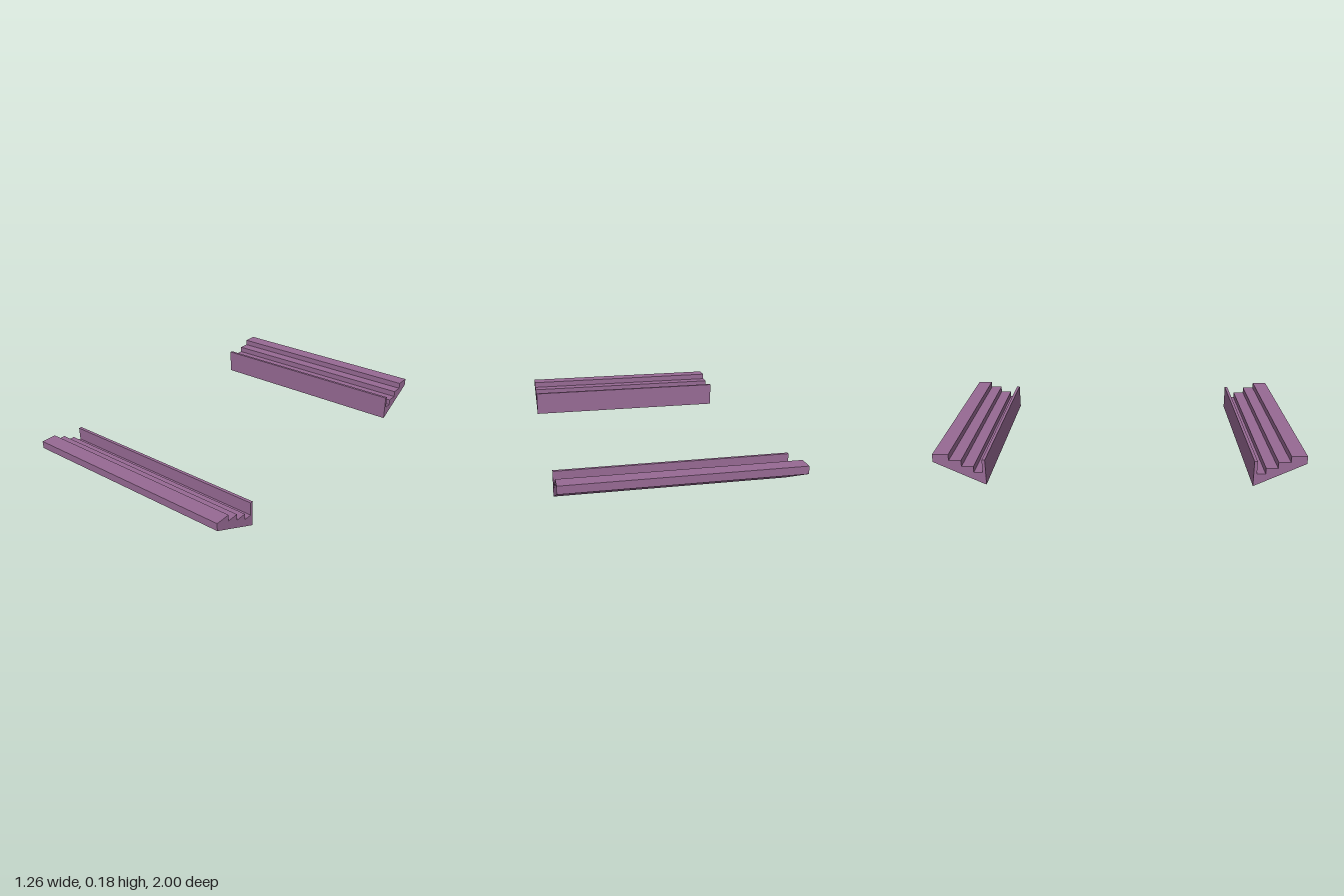
import * as THREE from 'three';

const LENGTH = 1.26;

// Cross-section of one stand: x is the distance from the centre, y is up
const PROFILE = [
  [0.72, 0], [1, 0.133], [1, 0.176],            // sloped underside, outer lip
  [0.914, 0.176], [0.914, 0.141],               // top step
  [0.848, 0.141], [0.848, 0.106],               // middle step
  [0.784, 0.106], [0.784, 0.072],               // bottom step
  [0.737, 0.072], [0.737, 0.145], [0.72, 0.145] // walkway and front wall
];

export function createModel() {
  const model = new THREE.Group();
  model.name = 'steppedStands';
  const mauve = new THREE.MeshStandardMaterial({ color: 0x976a94 });
  mauve.name = 'mauve';

  const shape = new THREE.Shape(PROFILE.map(([x, y]) => new THREE.Vector2(x, y)));
  const geometry = new THREE.ExtrudeGeometry(shape, { depth: LENGTH, bevelEnabled: false });
  geometry.translate(0, 0, -LENGTH / 2);

  // The same stand faces the centre from both ends
  for (const [name, side] of [['frontStand', 1], ['backStand', -1]]) {
    const stand = new THREE.Mesh(geometry, mauve);
    stand.name = name;
    stand.rotation.y = -side * Math.PI / 2;
    model.add(stand);
  }
  return model;
}
